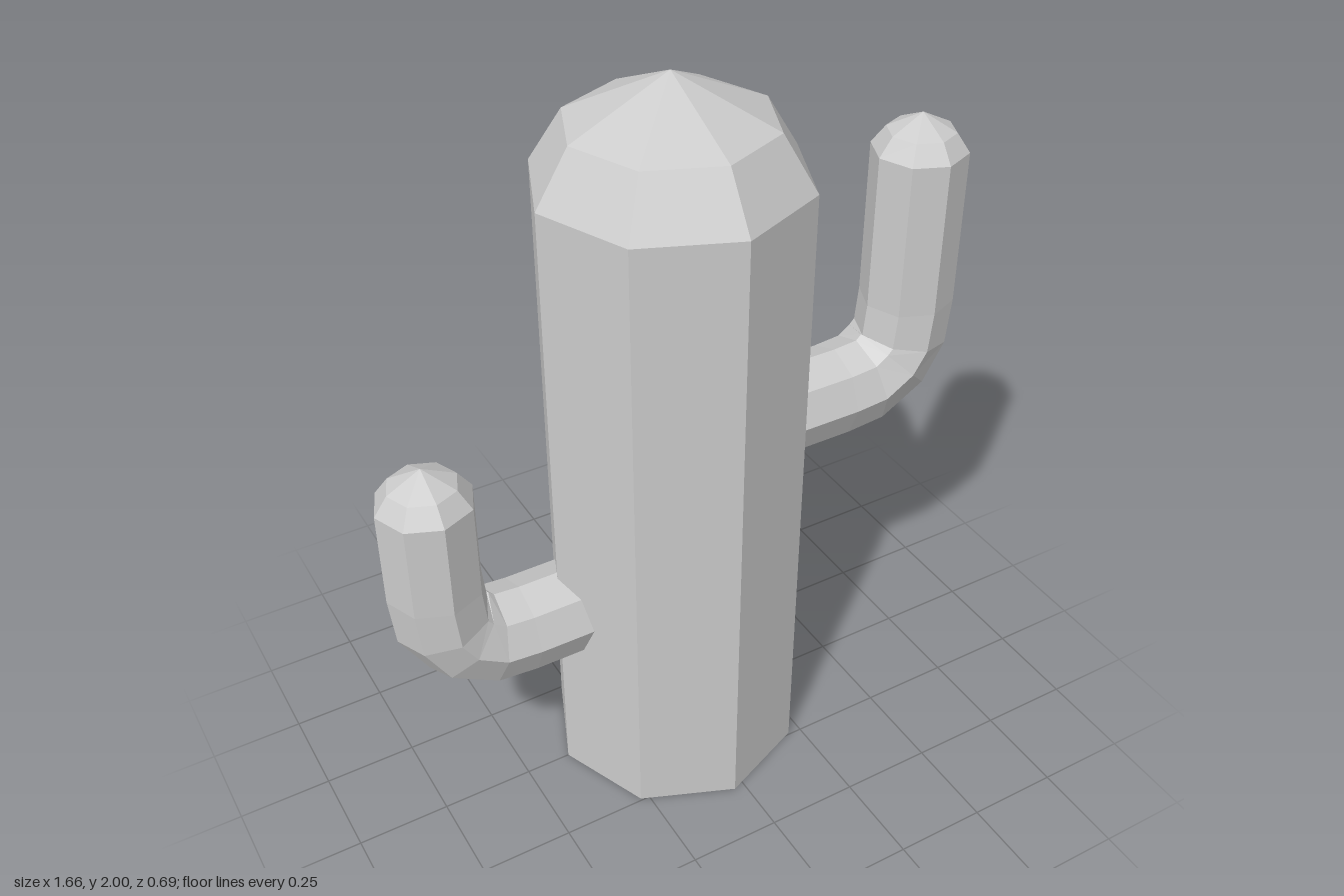
import * as THREE from 'three';

const SIDES = 8;
const material = new THREE.MeshStandardMaterial({ color: 0xcccccc, flatShading: true });

// Skin a chain of octagonal rings [x, y, angle of travel in degrees, radius];
// the first and last rings have radius 0 and close the ends.
function loftRings(rings) {
  const points = rings.map(([x, y, deg, r]) => {
    const a = THREE.MathUtils.degToRad(deg);
    return Array.from({ length: SIDES }, (_, j) => {
      const t = (j / SIDES) * Math.PI * 2;
      const n = r * Math.cos(t);
      return [x - Math.sin(a) * n, y + Math.cos(a) * n, r * Math.sin(t)];
    });
  });
  const positions = [];
  for (let k = 0; k < rings.length - 1; k++) {
    for (let j = 0; j < SIDES; j++) {
      const next = (j + 1) % SIDES;
      const a = points[k][j], b = points[k][next];
      const c = points[k + 1][next], d = points[k + 1][j];
      if (rings[k][3] > 0) positions.push(...a, ...b, ...(rings[k + 1][3] > 0 ? c : d));
      if (rings[k + 1][3] > 0) positions.push(...a, ...c, ...d);
    }
  }
  const geometry = new THREE.BufferGeometry();
  geometry.setAttribute('position', new THREE.Float32BufferAttribute(positions, 3));
  geometry.computeVertexNormals();
  return geometry;
}

// Arm that leaves the trunk along +x at height y, bends upward and ends in a domed tip
function createArm(name, y, shoulder) {
  const r = 0.126;
  const geometry = loftRings([
    [0.2, y, 0, 0],
    [0.2, y, 0, r],
    [0.478, y, 0, r],
    [0.572, y + 0.008, 11, r],
    [0.652, y + 0.057, 45, r],
    [0.691, y + 0.119, 79, r],
    [0.702, y + 0.232, 90, r],
    [0.702, shoulder, 90, r],
    [0.702, shoulder + 0.05, 90, 0.09],
    [0.702, shoulder + 0.097, 90, 0],
  ]);
  const arm = new THREE.Mesh(geometry, material);
  arm.name = name;
  arm.position.z = -0.015;
  return arm;
}

export function createModel() {
  const cactus = new THREE.Group();
  cactus.name = 'cactus';

  // Eight-sided trunk with a faceted dome
  const profile = [[0, 0], [0.345, 0], [0.345, 1.74], [0.258, 1.88], [0, 2]];
  const trunk = new THREE.Mesh(
    new THREE.LatheGeometry(profile.map(([x, y]) => new THREE.Vector2(x, y)), SIDES),
    material
  );
  trunk.name = 'trunk';
  trunk.position.x = -0.03;
  cactus.add(trunk);

  // High left arm and low right arm
  const leftArm = createArm('leftArm', 0.965, 1.627);
  const rightArm = createArm('rightArm', 0.55, 1.05);
  rightArm.rotation.y = Math.PI;
  cactus.add(leftArm, rightArm);

  return cactus;
}
